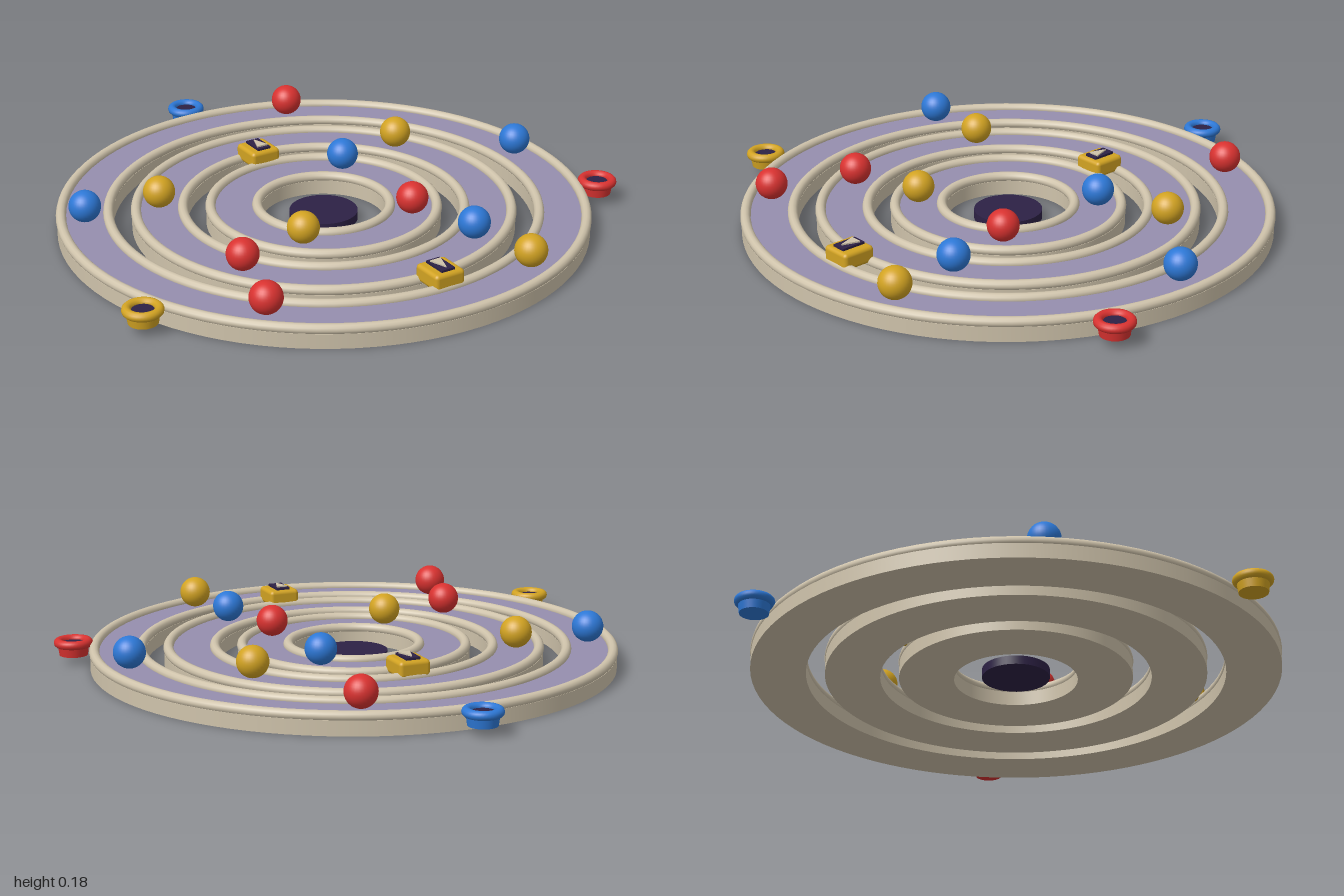
import * as THREE from 'three';
import { mergeGeometries } from 'three/addons/utils/BufferGeometryUtils.js';
import { RoundedBoxGeometry } from 'three/addons/geometries/RoundedBoxGeometry.js';

const paint = (name, color) => {
  const m = new THREE.MeshStandardMaterial({ color });
  m.name = name;
  return m;
};

export function createModel() {
  const model = new THREE.Group();
  model.name = 'ringBoard';
  const board = new THREE.Group();
  board.name = 'board';
  board.position.z = 0.064;
  model.add(board);

  const stone = paint('stone', 0xcfc3ab);
  const track = paint('trackViolet', 0x968eae);
  const dark = paint('darkViolet', 0x2d2145);
  const red = paint('red', 0xd93230);
  const blue = paint('blue', 0x2d78d6);
  const gold = paint('gold', 0xd2a322);

  const add = (parent, name, geometry, material, x = 0, y = 0, z = 0) => {
    const mesh = new THREE.Mesh(geometry, material);
    mesh.name = name;
    mesh.position.set(x, y, z);
    parent.add(mesh);
    return mesh;
  };

  // Closed ring with sharp edges: one lathe band per profile edge
  const band = (inner, outer, y0, y1) => {
    const p = [[outer, y0], [outer, y1], [inner, y1], [inner, y0]]
      .map(([r, y]) => new THREE.Vector2(r, y));
    return mergeGeometries(p.map((a, i) => new THREE.LatheGeometry([a, p[(i + 1) % 4]], 96)));
  };
  const torus = (radius, tube, segments) =>
    new THREE.TorusGeometry(radius, tube, 12, segments).rotateX(Math.PI / 2);

  // Three concentric ring tracks with raised round rims
  [['outer', 0.735, 0.935], ['middle', 0.475, 0.675], ['inner', 0.215, 0.415]]
    .forEach(([name, inner, outer]) => {
      const ring = new THREE.Group();
      ring.name = name + 'Ring';
      add(ring, 'ringBody', band(inner + 0.003, outer - 0.003, 0, 0.052), stone);
      add(ring, 'trackSurface', band(inner + 0.018, outer - 0.018, 0.052, 0.06), track);
      add(ring, 'outerRim', torus(outer - 0.018, 0.018, 96), stone, 0, 0.063);
      add(ring, 'innerRim', torus(inner + 0.018, 0.018, 96), stone, 0, 0.063);
      board.add(ring);
    });

  // Central hub disc
  add(board, 'hub', new THREE.CylinderGeometry(0.12, 0.12, 0.032, 48), dark, 0, 0.025);

  // Marbles: material, radius of track, angle from +x towards +z
  const ball = new THREE.SphereGeometry(0.056, 32, 20);
  [
    [blue, 0.834, 0], [gold, 0.834, 67.5], [red, 0.834, 135], [blue, 0.834, -157.5], [red, 0.834, -67.5],
    [gold, 0.575, -30], [gold, 0.575, -150], [red, 0.575, 150], [blue, 0.575, 60],
    [blue, 0.315, -45], [red, 0.315, 45], [gold, 0.315, 135],
  ].forEach(([material, r, degrees]) => {
    const a = THREE.MathUtils.degToRad(degrees);
    add(board, material.name + 'Marble', ball, material, r * Math.cos(a), 0.12, r * Math.sin(a));
  });

  // Goal cups on the outer edge
  [[blue, -90], [red, 22.5], [gold, 157.5]].forEach(([material, degrees]) => {
    const a = THREE.MathUtils.degToRad(degrees);
    const cup = new THREE.Group();
    cup.name = material.name + 'Cup';
    cup.position.set(0.994 * Math.cos(a), 0, 0.994 * Math.sin(a));
    add(cup, 'cupBase', new THREE.CylinderGeometry(0.056, 0.05, 0.042, 32), material, 0, 0.051);
    add(cup, 'cupRim', torus(0.053, 0.016, 40), material, 0, 0.075);
    add(cup, 'cupHole', new THREE.CylinderGeometry(0.04, 0.04, 0.006, 32), dark, 0, 0.073);
    board.add(cup);
  });

  // Gates bridging neighbouring rings, arrow pointing outwards
  const arrow = new THREE.Shape([[-0.021, -0.03], [0.021, -0.03], [0, 0.032]]
    .map(([x, y]) => new THREE.Vector2(x, y)));
  const arrowGeometry = new THREE.ExtrudeGeometry(arrow, { depth: 0.006, bevelEnabled: false })
    .rotateX(-Math.PI / 2);
  [['innerGate', -0.447, 0], ['outerGate', 0.705, Math.PI]].forEach(([name, z, turn]) => {
    const gate = new THREE.Group();
    gate.name = name;
    gate.position.z = z;
    gate.rotation.y = turn;
    add(gate, 'gateBlock', new RoundedBoxGeometry(0.115, 0.06, 0.122, 3, 0.014), gold, 0, 0.09);
    add(gate, 'gatePlate', new THREE.BoxGeometry(0.052, 0.009, 0.088), dark, 0, 0.1235);
    add(gate, 'gateArrow', arrowGeometry, stone, 0, 0.127);
    board.add(gate);
  });

  return model;
}
